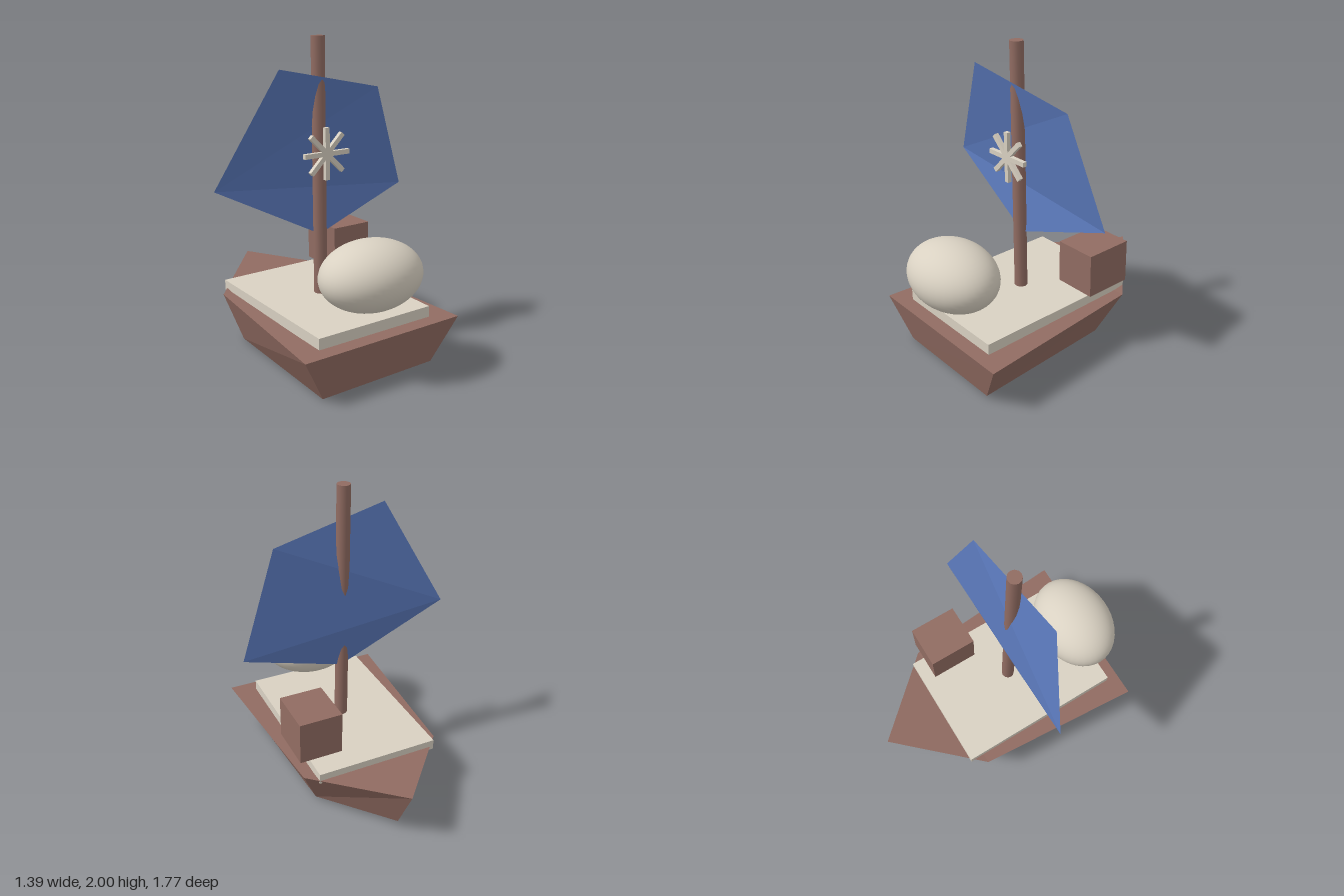
import * as THREE from 'three';

const wood = new THREE.MeshStandardMaterial({ color: 0x916c62 });
wood.name = 'brownWood';
const cream = new THREE.MeshStandardMaterial({ color: 0xd9d1c2 });
cream.name = 'cream';
const cloth = new THREE.MeshStandardMaterial({ color: 0x5a78ba, side: THREE.DoubleSide });
cloth.name = 'blueCloth';

const ROLL = -0.0175; // the whole boat leans slightly

// Flat-faced geometry from corner points and triangles
function faceted(points, triangles) {
  const g = new THREE.BufferGeometry();
  g.setAttribute('position', new THREE.Float32BufferAttribute(points.flat(), 3));
  g.setIndex(triangles.flat());
  const flat = g.toNonIndexed();
  flat.computeVertexNormals();
  return flat;
}

function add(parent, name, geometry, material, x = 0, y = 0, z = 0, roll = 0) {
  const mesh = new THREE.Mesh(geometry, material);
  mesh.name = name;
  mesh.position.set(x, y, z);
  mesh.rotation.z = roll;
  parent.add(mesh);
  return mesh;
}

// Five-cornered hull: flared sides between a bottom ring and a deck ring
function hullGeometry() {
  const bottom = [[-0.39, 0, 0.71], [0.42, 0.02, 0.71], [0.365, 0.02, -0.26], [0.01, 0.06, -0.73], [-0.375, 0.005, -0.25]];
  const top = [[-0.55, 0.285, 0.775], [0.575, 0.307, 0.775], [0.49, 0.32, -0.375], [0.01, 0.377, -0.885], [-0.465, 0.303, -0.355]];
  const tris = [[5, 6, 7], [5, 7, 9], [7, 8, 9], [0, 2, 1], [0, 4, 2], [2, 4, 3]];
  for (let i = 0; i < 5; i++) {
    const j = (i + 1) % 5;
    tris.push([i, j, j + 5], [i, j + 5, i + 5]);
  }
  return faceted([...bottom, ...top], tris);
}

export function createModel() {
  const boat = new THREE.Group();
  boat.name = 'sailingBoat';

  add(boat, 'hull', hullGeometry(), wood);
  add(boat, 'deck', new THREE.BoxGeometry(0.815, 0.07, 1.14), cream, 0.008, 0.335, 0.115, -ROLL);

  // Mast, passing through the sail
  const mastGeometry = new THREE.CylinderGeometry(0.043, 0.043, 1.66, 12);
  add(boat, 'mast', mastGeometry, wood, -0.004, 1.1695, 0.096, -ROLL);

  // Five-cornered folded sail
  const sail = faceted(
    [[-0.695, 1.11, 0.02], [0.01, 0.757, 0.085], [0.692, 1.0, 0.034], [0.435, 1.67, 0.107], [-0.333, 1.815, 0.167]],
    [[0, 1, 2], [0, 2, 3], [0, 3, 4]]
  );
  add(boat, 'sail', sail, cloth);

  // Eight-armed emblem of four crossed bars
  const emblem = new THREE.Group();
  emblem.name = 'starEmblem';
  emblem.position.set(-0.008, 1.292, 0.181);
  emblem.rotation.z = -ROLL;
  const bar = new THREE.BoxGeometry(0.325, 0.03, 0.028);
  for (let i = 0; i < 4; i++) add(emblem, 'emblemBar', bar, cream, 0, 0, 0, i * Math.PI / 4);
  boat.add(emblem);

  // Cargo
  add(boat, 'crate', new THREE.BoxGeometry(0.282, 0.283, 0.32), wood, 0.364, 0.583, -0.212, -ROLL);
  const boulder = add(boat, 'roundBoulder', new THREE.SphereGeometry(1, 40, 28), cream, 0.003, 0.645, 0.628, -ROLL);
  boulder.scale.set(0.335, 0.212, 0.257);

  return boat;
}
